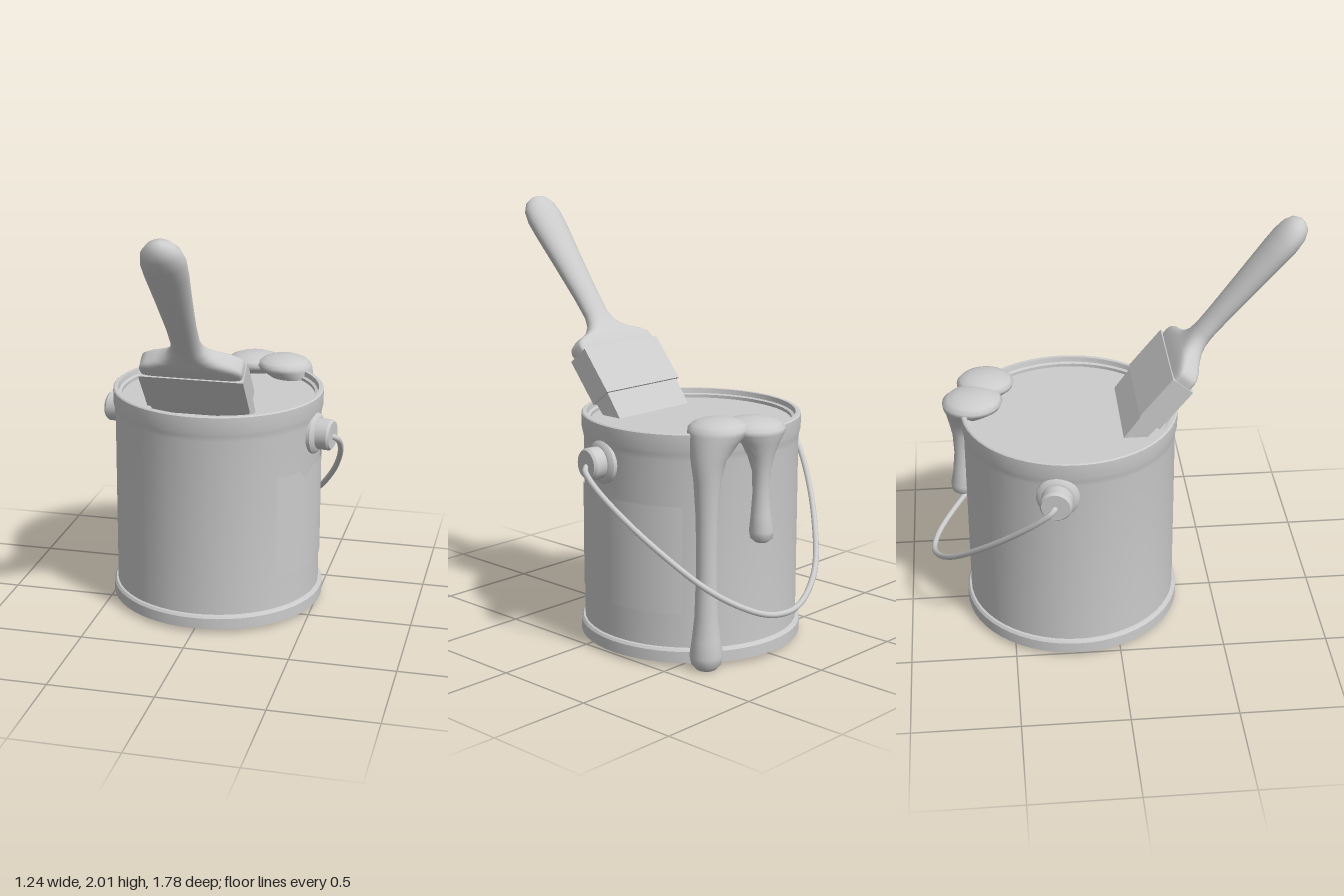
import * as THREE from 'three';
import { toCreasedNormals } from 'three/addons/utils/BufferGeometryUtils.js';

const grey = new THREE.MeshStandardMaterial({ color: 0xcccccc });
const thin = new THREE.MeshStandardMaterial({ color: 0xcccccc, side: THREE.DoubleSide });

function add(parent, name, geometry, material = grey) {
  const mesh = new THREE.Mesh(geometry, material);
  mesh.name = name;
  parent.add(mesh);
  return mesh;
}

function lathe(points, segments) {
  const profile = points.map(([r, y]) => new THREE.Vector2(r, y));
  return toCreasedNormals(new THREE.LatheGeometry(profile, segments), 0.6);
}

// Skin over horizontal superellipse rings: { y, rx, rz, cx, cz, power }
function loft(rings, sides) {
  const positions = [], index = [];
  const bend = (v, power) => Math.sign(v) * Math.abs(v) ** (2 / power);
  rings.forEach(({ y, rx, rz, cx = 0, cz = 0, power = 2 }, i) => {
    for (let j = 0; j < sides; j++) {
      const a = (j / sides) * Math.PI * 2;
      positions.push(cx + rx * bend(Math.cos(a), power), y, cz - rz * bend(Math.sin(a), power));
      if (i === rings.length - 1) continue;
      const p = i * sides + j, q = i * sides + (j + 1) % sides;
      index.push(p, q, p + sides, q, q + sides, p + sides);
    }
  });
  const geometry = new THREE.BufferGeometry();
  geometry.setAttribute('position', new THREE.Float32BufferAttribute(positions, 3));
  geometry.setIndex(index);
  geometry.computeVertexNormals();
  return geometry;
}

// Drip rows from bottom to top: [y, radius, centre x, centre z]
const drip = rows => loft(rows.map(([y, r, cx, cz]) => ({ y, rx: r, rz: r, cx, cz })), 24);

function createBrush() {
  const brush = new THREE.Group();
  brush.name = 'brush';

  // Handle: broad shoulder, slim neck, swelling grip
  const rows = [
    [0.2, 0.235, 0.052, 8], [0.265, 0.243, 0.054, 7], [0.29, 0.235, 0.054, 6],
    [0.312, 0.205, 0.053, 4.5], [0.33, 0.155, 0.051, 3.5], [0.355, 0.11, 0.049, 2.8],
    [0.39, 0.08, 0.047, 2.3], [0.44, 0.067, 0.047, 2], [0.55, 0.068, 0.05, 2],
    [0.75, 0.082, 0.058, 2], [0.93, 0.097, 0.065, 2], [1.01, 0.1, 0.067, 2],
    [1.07, 0.088, 0.062, 2], [1.11, 0.06, 0.046, 2], [1.128, 0.025, 0.02, 2], [1.13, 0, 0, 2],
  ];
  add(brush, 'brushHandle', loft(rows.map(([y, rx, rz, power]) => ({ y, rx, rz, power })), 40));

  // Metal ferrule and tapering bristles
  add(brush, 'brushFerrule', new THREE.BoxGeometry(0.49, 0.24, 0.12)).position.y = 0.12;
  const bristles = new THREE.BoxGeometry(0.47, 0.18, 0.1);
  const p = bristles.attributes.position;
  for (let i = 0; i < p.count; i++) if (p.getY(i) < 0) p.setZ(i, p.getZ(i) * 0.8);
  bristles.computeVertexNormals();
  add(brush, 'brushBristles', bristles).position.y = -0.08;

  brush.position.set(0, 1.12, 0.155);
  brush.rotation.x = 0.68;
  return brush;
}

function createBail() {
  const bail = new THREE.Group();
  bail.name = 'bail';

  // Side knobs with flanges
  const knob = lathe([
    [0.1, 0.47], [0.1, 0.51], [0.085, 0.525], [0.075, 0.527],
    [0.075, 0.582], [0.066, 0.594], [0, 0.594],
  ], 28);
  for (const side of [1, -1]) {
    const mesh = add(bail, side > 0 ? 'leftKnob' : 'rightKnob', knob);
    mesh.rotation.z = -side * Math.PI / 2;
    mesh.position.y = 0.905;
  }

  // Wire hanging down behind the can: [sideways, backwards]
  const half = [[0.58, 0], [0.608, 0.012], [0.612, 0.05], [0.585, 0.14], [0.47, 0.345], [0.29, 0.56], [0.11, 0.665]];
  const path = [...half, [0, 0.682], ...half.slice().reverse().map(([x, d]) => [-x, d])];
  const curve = new THREE.CatmullRomCurve3(
    path.map(([x, d]) => new THREE.Vector3(x, 0.9 - 0.92 * d, -d)));
  add(bail, 'bailWire', new THREE.TubeGeometry(curve, 120, 0.014, 10));

  bail.rotation.y = -0.175;
  return bail;
}

export function createModel() {
  const model = new THREE.Group();
  model.name = 'paintCan';

  const can = new THREE.Group();
  can.name = 'can';
  can.position.z = -0.2;
  model.add(can);

  // Shell with foot ring, rolled top rim and inner lip
  add(can, 'canShell', lathe([
    [0, 0.025], [0.521, 0.025], [0.521, 0.078], [0.512, 0.09], [0.502, 0.092],
    [0.502, 0.96], [0.506, 0.985], [0.512, 1.01], [0.512, 1.078], [0.506, 1.083],
    [0.488, 1.083], [0.484, 1.06], [0.47, 1.055], [0.47, 1.02],
  ], 56));

  // Paint surface
  const surface = add(can, 'paintSurface', new THREE.CircleGeometry(0.475, 56));
  surface.rotation.x = -Math.PI / 2;
  surface.position.y = 1.04;

  // Label wrapped on the left side, with a small notch in its upper edge
  const label = new THREE.CylinderGeometry(0.506, 0.506, 0.5, 40, 1, true, 0.81, 1.43);
  const p = label.attributes.position;
  for (let i = 0; i < p.count; i++) {
    const notch = Math.max(0, 1 - Math.abs(p.getZ(i) - 0.18) / 0.05);
    if (p.getY(i) > 0) p.setY(i, p.getY(i) - 0.04 * notch);
  }
  add(can, 'label', label, thin).position.y = 0.5;

  can.add(createBail());

  // Paint spilling over the rim
  add(model, 'longDrip', drip([
    [0.005, 0, 0.34, -0.61], [0.005, 0.045, 0.34, -0.61], [0.03, 0.068, 0.34, -0.61],
    [0.07, 0.076, 0.34, -0.61], [0.14, 0.066, 0.34, -0.61], [0.25, 0.054, 0.338, -0.608],
    [0.45, 0.048, 0.336, -0.606], [0.7, 0.05, 0.336, -0.606], [0.88, 0.062, 0.335, -0.605],
    [0.97, 0.08, 0.325, -0.603], [1.04, 0.11, 0.285, -0.597], [1.08, 0.134, 0.255, -0.592],
    [1.1, 0.137, 0.247, -0.59], [1.12, 0.12, 0.245, -0.59], [1.135, 0.085, 0.245, -0.59],
    [1.142, 0.04, 0.245, -0.59], [1.144, 0, 0.245, -0.59],
  ]));
  add(model, 'shortDrip', drip([
    [0.57, 0, 0.1, -0.722], [0.573, 0.03, 0.1, -0.722], [0.59, 0.05, 0.1, -0.722],
    [0.625, 0.056, 0.1, -0.722], [0.7, 0.046, 0.1, -0.718], [0.8, 0.038, 0.1, -0.716],
    [0.9, 0.042, 0.1, -0.716], [0.97, 0.062, 0.098, -0.71], [1.03, 0.1, 0.09, -0.685],
    [1.07, 0.138, 0.085, -0.66], [1.09, 0.143, 0.085, -0.655], [1.11, 0.125, 0.085, -0.65],
    [1.125, 0.085, 0.085, -0.65], [1.132, 0.04, 0.085, -0.65], [1.134, 0, 0.085, -0.65],
  ]));

  model.add(createBrush());
  return model;
}
